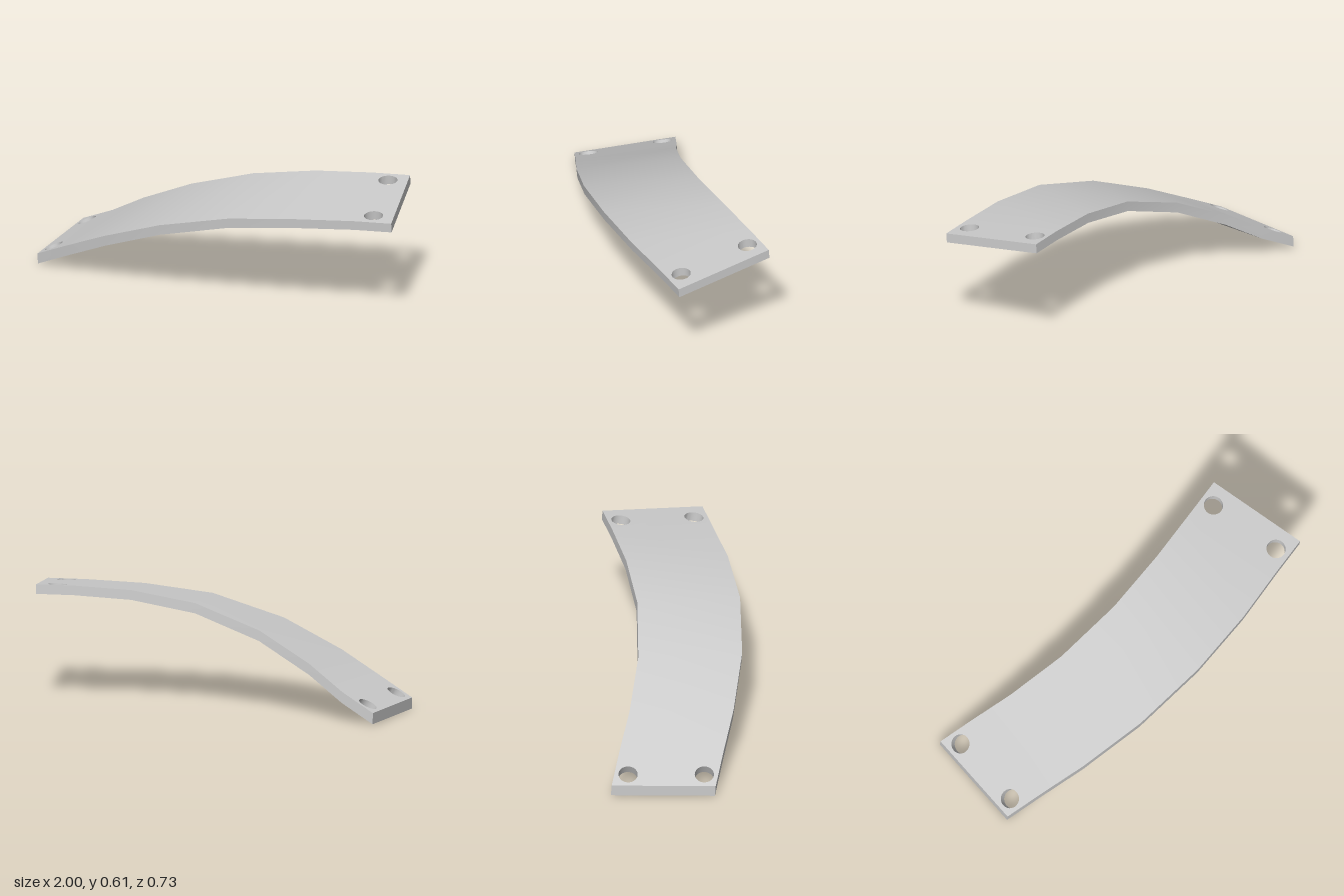
import * as THREE from 'three';
import { toCreasedNormals } from 'three/addons/utils/BufferGeometryUtils.js';

const V = (x, y, z) => new THREE.Vector3(x, y, z);

// Cross stations from left to right: front top corner, back top corner, thickness
const stations = [
  [V(-0.988, 0.057, 0.237), V(-1.0, 0.064, -0.294), 0.057],
  [V(-0.8, 0.148, 0.274), V(-0.812, 0.155, -0.257), 0.057],
  [V(-0.56, 0.261, 0.324), V(-0.61, 0.276, -0.207), 0.056],
  [V(-0.22, 0.396, 0.364), V(-0.312, 0.422, -0.165), 0.054],
  [V(0.17, 0.498, 0.349), V(0.04, 0.54, -0.174), 0.052],
  [V(0.52, 0.535, 0.283), V(0.37, 0.594, -0.234), 0.05],
  [V(0.81, 0.548, 0.2), V(0.655, 0.609, -0.308), 0.049],
  [V(1.0, 0.55, 0.148), V(0.845, 0.611, -0.36), 0.049],
].map(([F, B, t]) => {
  const drop = V(0, -t, -0.004);
  return { F, B, drop, f: F.clone().add(drop), b: B.clone().add(drop) };
});

const HOLE_RADIUS = 0.049;
const HOLE_SIDES = 32;
// Bolt hole centres (x, z) on the flat end panels, keyed by panel index
const holeCentres = {
  0: [[-0.936, -0.211], [-0.925, 0.178]],
  6: [[0.766, -0.266], [0.877, 0.106]],
};

export function createModel() {
  const positions = [];
  const tri = (...pts) => pts.forEach((p) => positions.push(p.x, p.y, p.z));
  const quad = (a, b, c, d) => { tri(a, b, c); tri(a, c, d); };

  // Flat face with holes, triangulated in plan and turned up or down
  function holedFace(contour, holes, up) {
    const plan = (list) => list.map((p) => new THREE.Vector2(p.x, p.z));
    const all = [...contour, ...holes.flat()];
    for (const [i, j, k] of THREE.ShapeUtils.triangulateShape(plan(contour), holes.map(plan))) {
      const [a, b, c] = [all[i], all[j], all[k]];
      const facesUp = b.clone().sub(a).cross(c.clone().sub(a)).y > 0;
      if (facesUp === up) tri(a, b, c);
      else tri(a, c, b);
    }
  }

  // End panel: top and bottom faces plus bored hole walls
  function holedPanel(s, e, centres) {
    const e1 = e.F.clone().sub(s.F).normalize();
    const n = e1.clone().cross(s.B.clone().sub(s.F)).normalize();
    const e2 = n.clone().cross(e1);
    const bore = n.clone().multiplyScalar(s.drop.dot(n));
    const topHoles = centres.map(([x, z]) => {
      const y = s.F.y - (n.x * (x - s.F.x) + n.z * (z - s.F.z)) / n.y;
      return Array.from({ length: HOLE_SIDES }, (_, k) => {
        const a = (k / HOLE_SIDES) * Math.PI * 2;
        return V(x, y, z)
          .addScaledVector(e1, HOLE_RADIUS * Math.cos(a))
          .addScaledVector(e2, HOLE_RADIUS * Math.sin(a));
      });
    });
    const lowHoles = topHoles.map((ring) => ring.map((p) => p.clone().add(bore)));
    holedFace([s.F, e.F, e.B, s.B], topHoles, true);
    holedFace([s.f, e.f, e.b, s.b], lowHoles, false);
    topHoles.forEach((top, h) => {
      const low = lowHoles[h];
      for (let k = 0; k < HOLE_SIDES; k++) {
        const m = (k + 1) % HOLE_SIDES;
        quad(low[m], low[k], top[k], top[m]);
      }
    });
  }

  // Panels and rims along the bent plate
  for (let i = 0; i < stations.length - 1; i++) {
    const s = stations[i], e = stations[i + 1];
    if (holeCentres[i]) {
      holedPanel(s, e, holeCentres[i]);
    } else {
      quad(s.F, e.F, e.B, s.B);
      quad(s.b, e.b, e.f, s.f);
    }
    quad(s.f, e.f, e.F, s.F);
    quad(e.b, s.b, s.B, e.B);
  }

  // End caps
  const first = stations[0], last = stations[stations.length - 1];
  quad(first.b, first.f, first.F, first.B);
  quad(last.f, last.b, last.B, last.F);

  const geometry = new THREE.BufferGeometry();
  geometry.setAttribute('position', new THREE.Float32BufferAttribute(positions, 3));
  const plate = new THREE.Mesh(
    toCreasedNormals(geometry, 0.5),
    new THREE.MeshStandardMaterial({ color: 0xcccccc })
  );
  plate.name = 'curvedPlate';

  const group = new THREE.Group();
  group.name = 'curvedMountingPlate';
  group.add(plate);
  return group;
}
